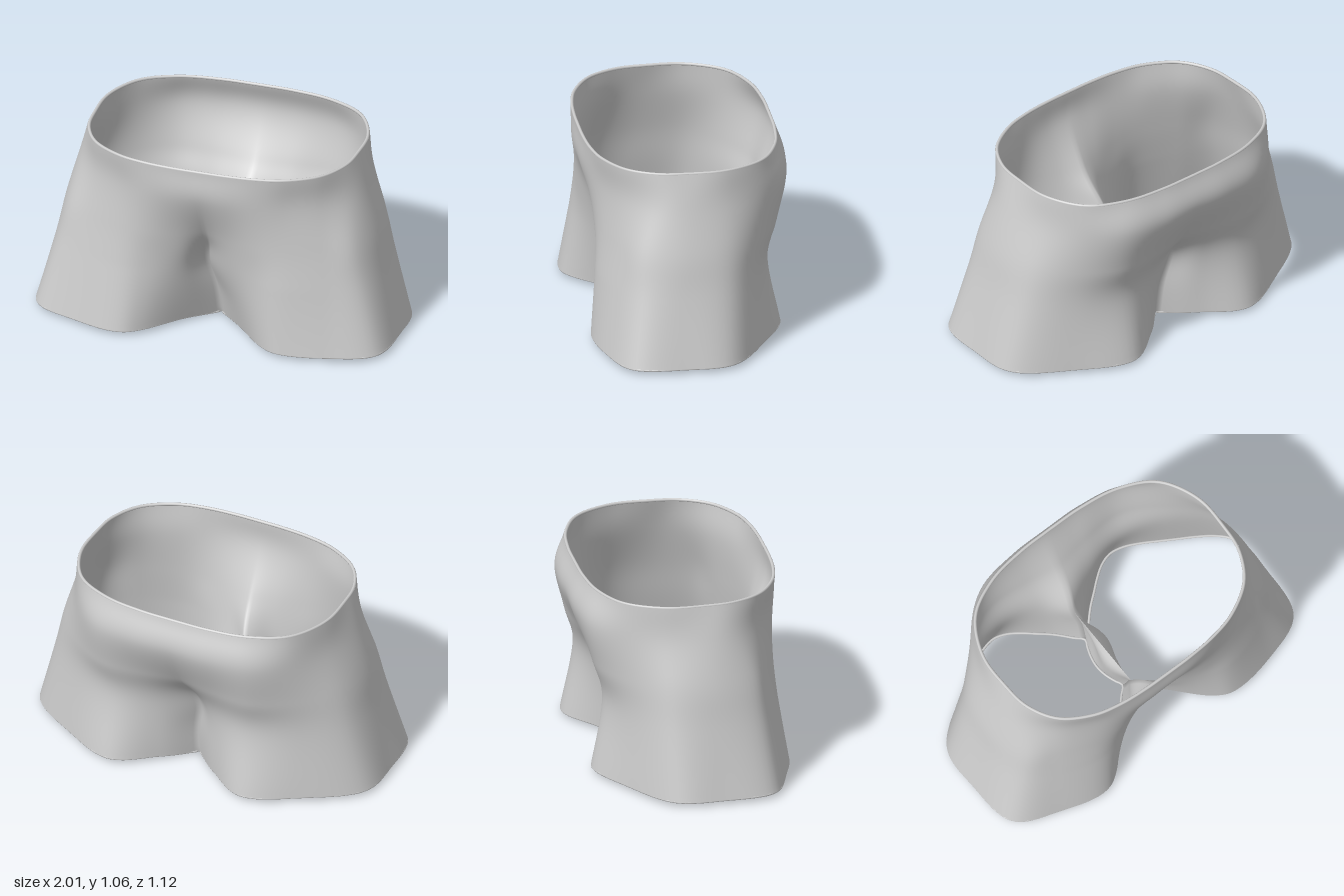
import * as THREE from 'three';

// Half outlines [x, z] from centre front, round the side, to centre back.
const OUTLINES = [
  { y: 0.03, p: [[0, .13], [.15, .29], [.33, .485], [.47, .545], [.7, .5], [.955, .385], [1, .1], [.97, -.17], [.7, -.37], [.4, -.505], [.16, -.36], [0, -.2]] },
  { y: 0.4, p: [[0, .25], [.12, .385], [.3, .475], [.46, .5], [.68, .435], [.86, .33], [.915, .1], [.88, -.17], [.66, -.35], [.4, -.435], [.17, -.38], [0, -.27]] },
  { y: 0.63, p: [[0, .405], [.13, .455], [.3, .49], [.46, .475], [.66, .4], [.81, .3], [.87, .08], [.83, -.17], [.66, -.36], [.44, -.48], [.2, -.475], [0, -.44]] },
  { y: 0.88, p: [[0, .53], [.15, .53], [.31, .51], [.46, .46], [.63, .37], [.76, .23], [.8, .06], [.76, -.17], [.64, -.38], [.46, -.52], [.22, -.56], [0, -.56]] },
];
const COLS = 156, LEVELS = 50, HALF = COLS / 2;

// Waist outline: the hip outline projected onto a rounded oval.
function waistOutline(hip) {
  const n = 2.8, a = 0.75, front = 0.535, back = 0.52;
  return hip.map(([x, z]) => {
    const b = z > 0 ? front : back;
    const s = ((x / a) ** n + (Math.abs(z) / b) ** n) ** (-1 / n);
    return [x * s, z * s];
  });
}

// Index a grid of points; wrap joins the last column to the first.
function gridGeometry(rows, wrap, flip = false) {
  const n = rows[0].length, index = [];
  for (let j = 0; j < rows.length - 1; j++) {
    for (let i = 0; i < (wrap ? n : n - 1); i++) {
      const a = j * n + i, b = j * n + (i + 1) % n, c = a + n, d = b + n;
      if (flip) index.push(a, c, b, b, c, d);
      else index.push(a, b, c, b, d, c);
    }
  }
  const geo = new THREE.BufferGeometry().setFromPoints(rows.flat());
  geo.setIndex(index);
  geo.computeVertexNormals();
  return geo;
}

// Mirrored half rings with a sharp centre fold, blended vertically by splines.
function shellRows() {
  const outlines = [...OUTLINES, { y: 1.058, p: waistOutline(OUTLINES[3].p) }];
  const rings = outlines.map(({ y, p }) => {
    const curve = new THREE.CatmullRomCurve3(
      p.map(([x, z]) => new THREE.Vector3(x, y, z)), false, 'catmullrom', 0.5);
    const right = Array.from({ length: HALF + 1 }, (_, i) => curve.getPoint(i / HALF));
    const left = right.slice(1, -1).reverse().map(v => new THREE.Vector3(-v.x, v.y, v.z));
    return [...right, ...left];
  });
  const columns = rings[0].map((_, i) =>
    new THREE.CatmullRomCurve3(rings.map(r => r[i]), false, 'catmullrom', 0.5));
  return Array.from({ length: LEVELS + 1 }, (_, j) => columns.map(c => {
    const v = c.getPoint(j / LEVELS);
    const near = Math.exp(-((v.x / 0.12) ** 2));
    // the right leg's front hem stands a little further forward
    const hem = Math.exp(-(((Math.abs(v.x) - 0.46) / 0.2) ** 2)) * Math.max(0, 1 - v.y / 0.4);
    if (v.z > 0) v.z -= 0.014 * Math.sign(v.x) * hem;
    // the centre fold wanders sideways and the hem dips at the crotch
    v.x -= 0.035 * near * Math.exp(-(((v.y - 0.38) / 0.14) ** 2));
    v.y -= 0.022 * near * Math.max(0, 1 - v.y / 0.2);
    return v;
  }));
}

export function createModel() {
  const group = new THREE.Group();
  const cloth = new THREE.MeshStandardMaterial({ color: 0xcccccc, side: THREE.DoubleSide });
  cloth.name = 'grey cloth';
  const add = (name, geo) => {
    const mesh = new THREE.Mesh(geo, cloth);
    mesh.name = name;
    group.add(mesh);
  };

  // Outer shell of the shorts
  const rows = shellRows();
  add('shortsShell', gridGeometry(rows, true));

  // Rolled edge tucked just inside an opening centred on x = cx
  const rolledEdge = (pts, cx, r) => {
    const path = pts.map(p => {
      const inward = new THREE.Vector3(cx - p.x, 0, -p.z).setLength(r);
      return p.clone().add(inward);
    });
    return new THREE.TubeGeometry(new THREE.CatmullRomCurve3(path, true), 160, r, 8, true);
  };
  add('waistRim', rolledEdge(rows[LEVELS].filter((_, i) => i % 2 === 0), 0, 0.009));

  // Inner leg walls, meeting in a ridge at the crotch, and the leg hems
  const ridge = rows.findIndex(r => r[0].y > 0.36);
  for (const side of [1, -1]) {
    const name = side > 0 ? 'left' : 'right';
    const wall = rows.slice(0, ridge + 1).map((row, j) => {
      const f = row[0], b = row[HALF], v = j / ridge;
      return Array.from({ length: 17 }, (_, i) => {
        const u = i / 16, p = f.clone().lerp(b, u);
        p.x += side * 0.045 * Math.sin(Math.PI * u) * (1 - v ** 6)
          - 0.02 * Math.sin(Math.PI * 2 * u) * Math.sin(Math.PI * v);
        return p;
      });
    });
    add(name + 'InnerLeg', gridGeometry(wall, false, side > 0));

    const outer = [];
    for (let i = 0; i <= HALF; i += 2) outer.push(rows[0][(side * i + COLS) % COLS]);
    const inner = wall[0].slice(1, -1).reverse().filter((_, i) => i % 3 === 1);
    add(name + 'LegHem', rolledEdge([...outer, ...inner], side * 0.5, 0.007));
  }
  return group;
}
